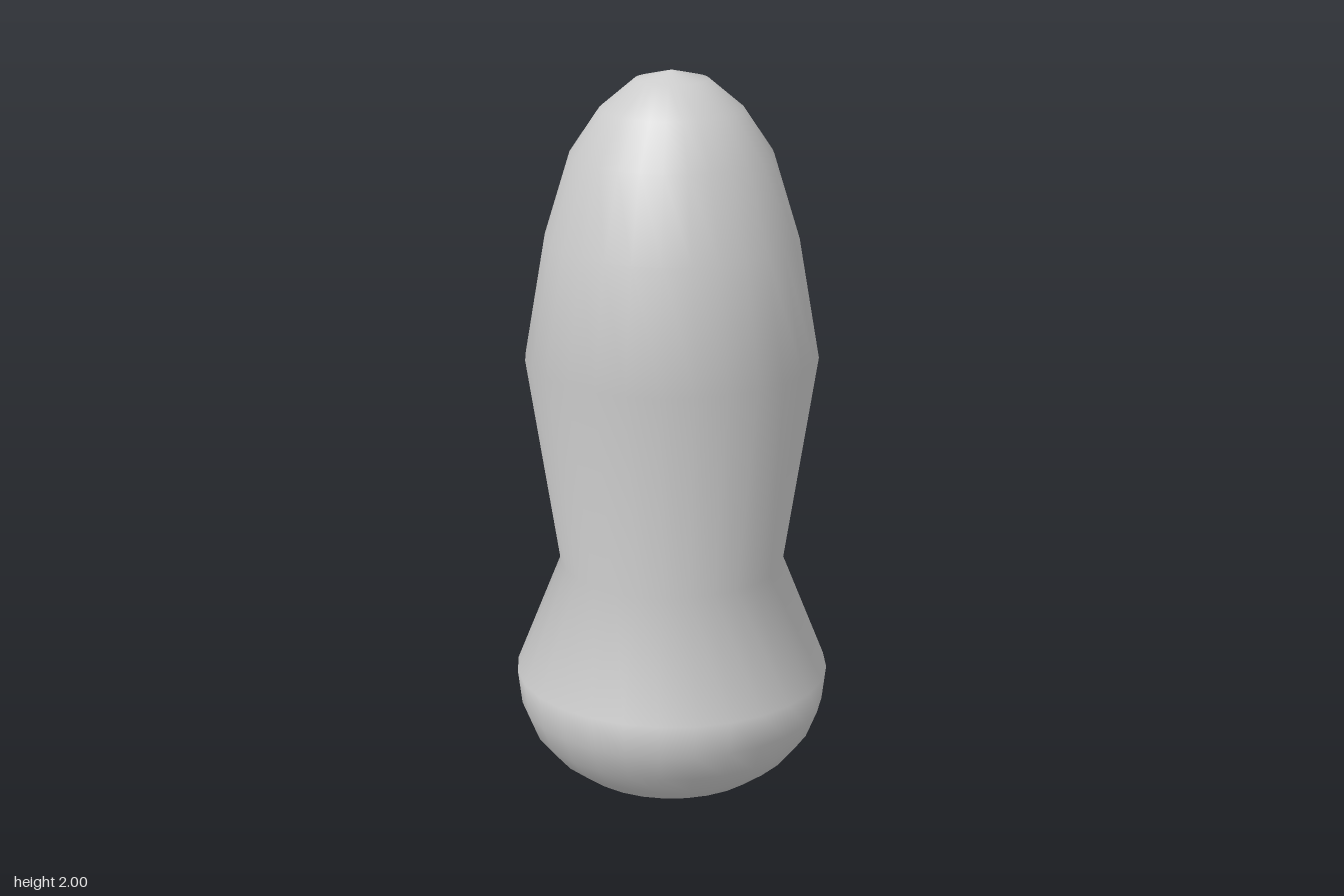
import * as THREE from 'three';

export function createModel() {
  const group = new THREE.Group();
  const material = new THREE.MeshStandardMaterial({ color: 0xcccccc });

  // Outline as [radius, height], from the tip of the base to the crown
  const outline = [
    [0, 0], [0.095, 0.027], [0.185, 0.04], [0.267, 0.073], [0.333, 0.123],
    [0.385, 0.187], [0.415, 0.263], [0.426, 0.358], // bulbous base
    [0.302, 0.67], // waist
    [0.389, 1.243], // widest part of the body
    [0.333, 1.565], [0.265, 1.785], [0.186, 1.902], [0.096, 1.977], [0, 2], // crown
  ].map(([r, y]) => new THREE.Vector2(r, y));

  // One smooth turned body
  const body = new THREE.Mesh(new THREE.LatheGeometry(outline, 28), material);
  body.name = 'turnedBody';
  group.add(body);

  return group;
}
